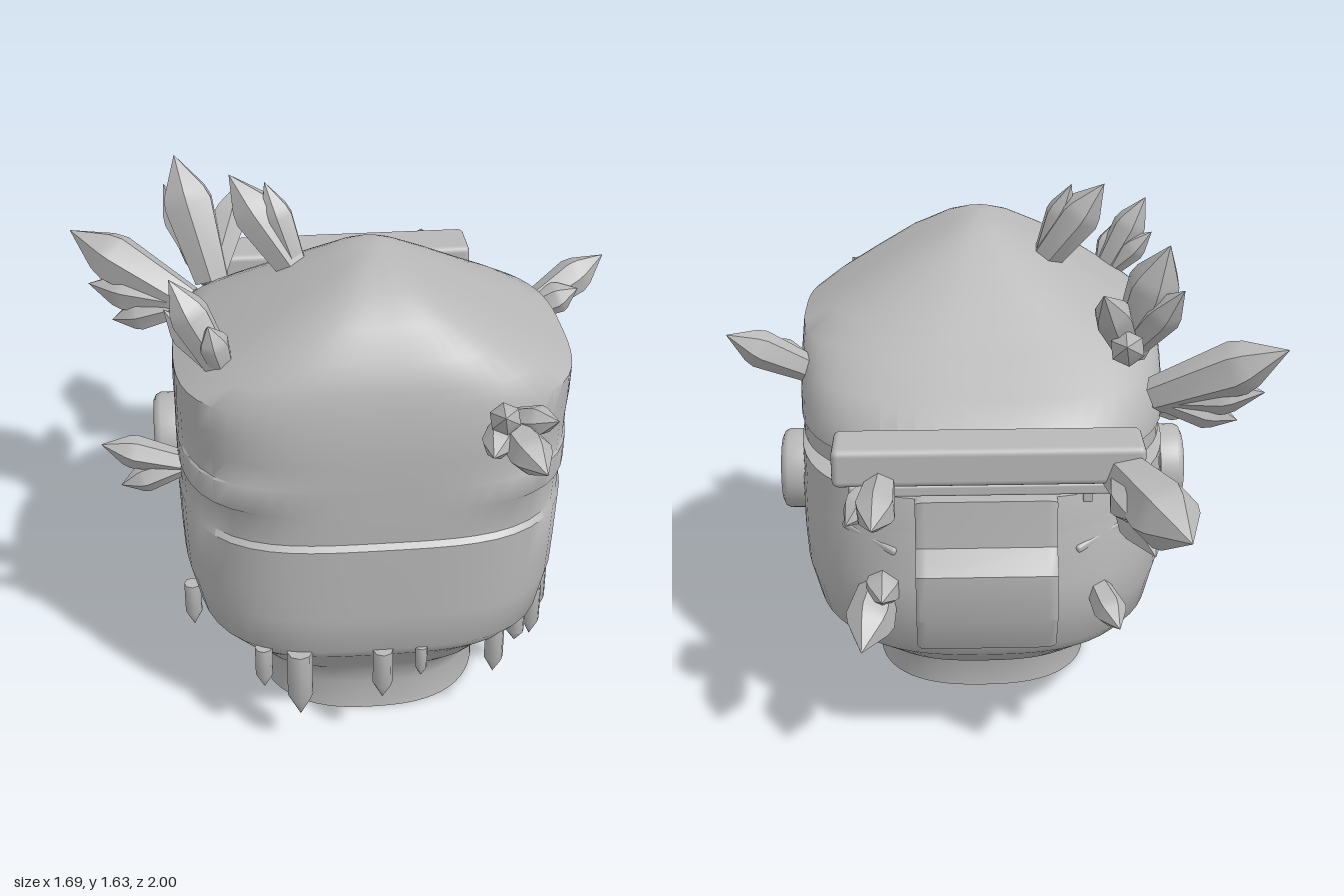
import * as THREE from 'three';
import { toCreasedNormals } from 'three/addons/utils/BufferGeometryUtils.js';
import { RoundedBoxGeometry } from 'three/addons/geometries/RoundedBoxGeometry.js';

const CX = 0.05; // the helmet sits slightly off the overall centre
const V = (p) => new THREE.Vector3(...p);

// Helmet shell: height, half width, front z, back z
const SECTIONS = [
  [0.005, 0.355, 0.61, -0.13], [0.1, 0.355, 0.6, -0.13], [0.165, 0.375, 0.62, -0.16],
  [0.2, 0.39, 0.64, -0.3], [0.27, 0.445, 0.69, -0.4], [0.34, 0.51, 0.76, -0.5],
  [0.38, 0.545, 0.785, -0.53], [0.5, 0.575, 0.79, -0.55], [0.6, 0.58, 0.795, -0.56],
  [0.75, 0.583, 0.8, -0.52], [0.765, 0.578, 0.785, -0.52], [0.862, 0.58, 0.79, -0.5],
  [0.868, 0.58, 0.79, -0.37], [0.948, 0.58, 0.795, -0.37], [0.954, 0.58, 0.795, -0.46],
  [1.03, 0.58, 0.797, -0.44], [1.1, 0.58, 0.795, -0.33], [1.19, 0.575, 0.785, -0.18],
  [1.25, 0.49, 0.77, -0.09], [1.32, 0.37, 0.745, 0.01], [1.4, 0.24, 0.68, 0.13],
  [1.46, 0.12, 0.59, 0.22], [1.49, 0.05, 0.5, 0.28], [1.498, 0.005, 0.4, 0.39],
];

function shellGeometry() {
  const N = 72, pos = [], idx = [];
  for (const [y, w, zf, zb] of SECTIONS) {
    const cz = (zf + zb) / 2, d = (zf - zb) / 2;
    for (let j = 0; j < N; j++) {
      const t = (j / N) * Math.PI * 2, c = Math.cos(t), s = Math.sin(t);
      // squarer at the front, rounder at the back and in the neck
      const n = y < 0.2 ? 2.5 : s > 0 ? 3.5 : 2.7;
      const r = 1 / Math.pow(Math.abs(c) ** n + Math.abs(s) ** n, 1 / n);
      pos.push(CX + w * c * r, y, cz + d * s * r);
    }
  }
  for (let i = 0; i < SECTIONS.length - 1; i++) {
    for (let j = 0; j < N; j++) {
      const a = i * N + j, b = i * N + ((j + 1) % N);
      idx.push(a, a + N, b, b, a + N, b + N);
    }
  }
  // close the neck and the crown
  const last = (SECTIONS.length - 1) * N;
  for (let j = 1; j < N - 1; j++) {
    idx.push(0, j, j + 1, last, last + j + 1, last + j);
  }
  const g = new THREE.BufferGeometry();
  g.setAttribute('position', new THREE.Float32BufferAttribute(pos, 3));
  g.setIndex(idx);
  return toCreasedNormals(g, 0.75);
}

// Six-sided crystal from base to tip
function crystalGeometry(len, r) {
  const profile = [[0, 0], [0.7, 0], [1, 0.62], [0.85, 0.72], [0, 1]]
    .map(([x, y]) => new THREE.Vector2(x * r, y * len));
  return toCreasedNormals(new THREE.LatheGeometry(profile, 6), 0.6);
}

// Clusters: a shared base, then tip and radius of each crystal
const CLUSTERS = [
  ['leftUpperCrystals', [-0.48, 1.06, -0.18], [[-0.85, 1.26, -0.34], 0.085], [[-0.8, 1.1, -0.27], 0.065], [[-0.73, 0.99, -0.22], 0.055]],
  ['leftLowerCrystals', [-0.5, 0.82, 0.4], [[-0.75, 0.9, 0.4], 0.05], [[-0.7, 0.76, 0.41], 0.045]],
  ['crownBackCrystals', [-0.4, 1.18, -0.1], [[-0.5, 1.55, -0.23], 0.085], [[-0.54, 1.43, -0.29], 0.06], [[-0.3, 1.42, -0.3], 0.06], [[-0.37, 1.27, -0.33], 0.055]],
  ['crownCrystals', [-0.15, 1.36, 0.25], [[-0.34, 1.64, 0.16], 0.07], [[-0.24, 1.63, 0.2], 0.05]],
  ['crownFrontCrystals', [-0.38, 1.22, 0.57], [[-0.52, 1.5, 0.54], 0.06], [[-0.54, 1.39, 0.5], 0.045], [[-0.42, 1.39, 0.61], 0.045]],
  ['frontCrystals', [0.38, 1.13, 0.74], [[0.45, 1.11, 1.0], 0.06], [[0.5, 1.2, 0.88], 0.045], [[0.35, 1.23, 0.9], 0.045], [[0.32, 1.12, 0.92], 0.045]],
  ['rightCrystals', [0.58, 1.08, 0.02], [[0.84, 1.23, -0.06], 0.06], [[0.74, 1.17, 0.05], 0.05]],
  ['browLeftCrystals', [-0.34, 0.98, -0.58], [[-0.48, 0.96, -1.0], 0.1], [[-0.41, 0.83, -0.82], 0.07], [[-0.34, 0.95, -0.84], 0.06]],
  ['browRightCrystals', [0.35, 0.97, -0.56], [[0.37, 0.95, -0.88], 0.06], [[0.45, 0.89, -0.72], 0.05]],
  ['muzzleRightCrystals', [0.36, 0.58, -0.38], [[0.42, 0.47, -0.7], 0.075], [[0.36, 0.59, -0.62], 0.055]],
  ['muzzleLeftCrystal', [-0.28, 0.56, -0.43], [[-0.34, 0.5, -0.64], 0.05]],
];

// Hanging spikes: x, z, tip height, radius
const SPIKES = [
  [-0.505, 0.41, 0.22, 0.026], [-0.3, 0.74, 0.23, 0.026], [-0.195, 0.77, 0.14, 0.038],
  [0.05, 0.785, 0.2, 0.03], [0.165, 0.78, 0.27, 0.018], [0.4, 0.7, 0.2, 0.029],
  [0.48, 0.62, 0.25, 0.028], [0.55, 0.52, 0.19, 0.028], [0.59, 0.41, 0.19, 0.028], [0.61, 0.28, 0.19, 0.026],
];

export function createModel() {
  const model = new THREE.Group();
  const grey = new THREE.MeshStandardMaterial({ color: 0xb8b8b8 });
  grey.name = 'stoneGrey';

  const add = (name, geo, pos = [0, 0, 0], parent = model) => {
    const m = new THREE.Mesh(geo, grey);
    m.name = name;
    m.position.set(...pos);
    parent.add(m);
    return m;
  };
  const box = (w, h, d, r) => new RoundedBoxGeometry(w, h, d, 3, r);

  add('helmetShell', shellGeometry());

  // Brow bar, the strip beneath it and its side struts
  add('browBar', box(0.89, 0.115, 0.17, 0.02), [0.045, 1.022, -0.55]);
  add('browStrip', box(0.8, 0.035, 0.025, 0.008), [CX, 0.905, -0.515]);
  for (const s of [-1, 1]) {
    add('browStrut', box(0.03, 0.13, 0.025, 0.006), [CX + s * 0.3, 0.91, -0.48]);
  }

  // Muzzle: tapered block seen from the side, with slanted vents at each cheek
  const side = new THREE.Shape([[0.3, 0.4], [0.54, 0.4], [0.6, 0.52], [0.6, 0.66], [0.53, 0.72], [0.52, 0.86], [0.3, 0.86]]
    .map(([z, y]) => new THREE.Vector2(z, y)));
  const muzzle = new THREE.ExtrudeGeometry(side, {
    depth: 0.36, bevelEnabled: true, bevelThickness: 0.03, bevelSize: 0.01, bevelSegments: 2,
  });
  muzzle.translate(0, 0, -0.18);
  muzzle.rotateY(Math.PI / 2);
  add('muzzle', toCreasedNormals(muzzle, 0.6), [CX, 0, 0]);
  for (const s of [-1, 1]) {
    for (let i = 0; i < 3; i++) {
      const vent = add('cheekVent', box(0.2, 0.025, 0.05, 0.01), [CX + s * 0.34, 0.58 + i * 0.07, -0.435]);
      vent.rotation.set(0, -s * 0.6, s * 0.25, 'YXZ');
    }
  }

  // Ear discs with rounded rims
  const discProfile = [[0, 0], [0.13, 0], [0.13, 0.055], [0.122, 0.07], [0.105, 0.078], [0, 0.08]]
    .map(([x, y]) => new THREE.Vector2(x, y));
  for (const s of [-1, 1]) {
    const disc = add(s > 0 ? 'leftEarDisc' : 'rightEarDisc',
      toCreasedNormals(new THREE.LatheGeometry(discProfile, 40), 0.7), [s > 0 ? 0.62 : -0.525, 0.725, 0.065]);
    disc.rotation.z = -s * Math.PI / 2;
  }

  // Crystal clusters
  const up = new THREE.Vector3(0, 1, 0);
  for (const [name, base, ...crystals] of CLUSTERS) {
    const group = new THREE.Group();
    group.name = name;
    model.add(group);
    for (const [tip, r] of crystals) {
      const dir = V(tip).sub(V(base));
      const c = add('crystal', crystalGeometry(dir.length(), r), base, group);
      c.quaternion.setFromUnitVectors(up, dir.normalize());
    }
  }

  // Spikes hanging from the lower rim
  for (const [x, z, tip, r] of SPIKES) {
    const len = 0.38 - tip;
    const profile = [[0, 0], [r, len * 0.32], [r, len], [0, len]].map(([a, b]) => new THREE.Vector2(a, b));
    add('rimSpike', toCreasedNormals(new THREE.LatheGeometry(profile, 8), 0.9), [x, tip, z]);
  }
  return model;
}
